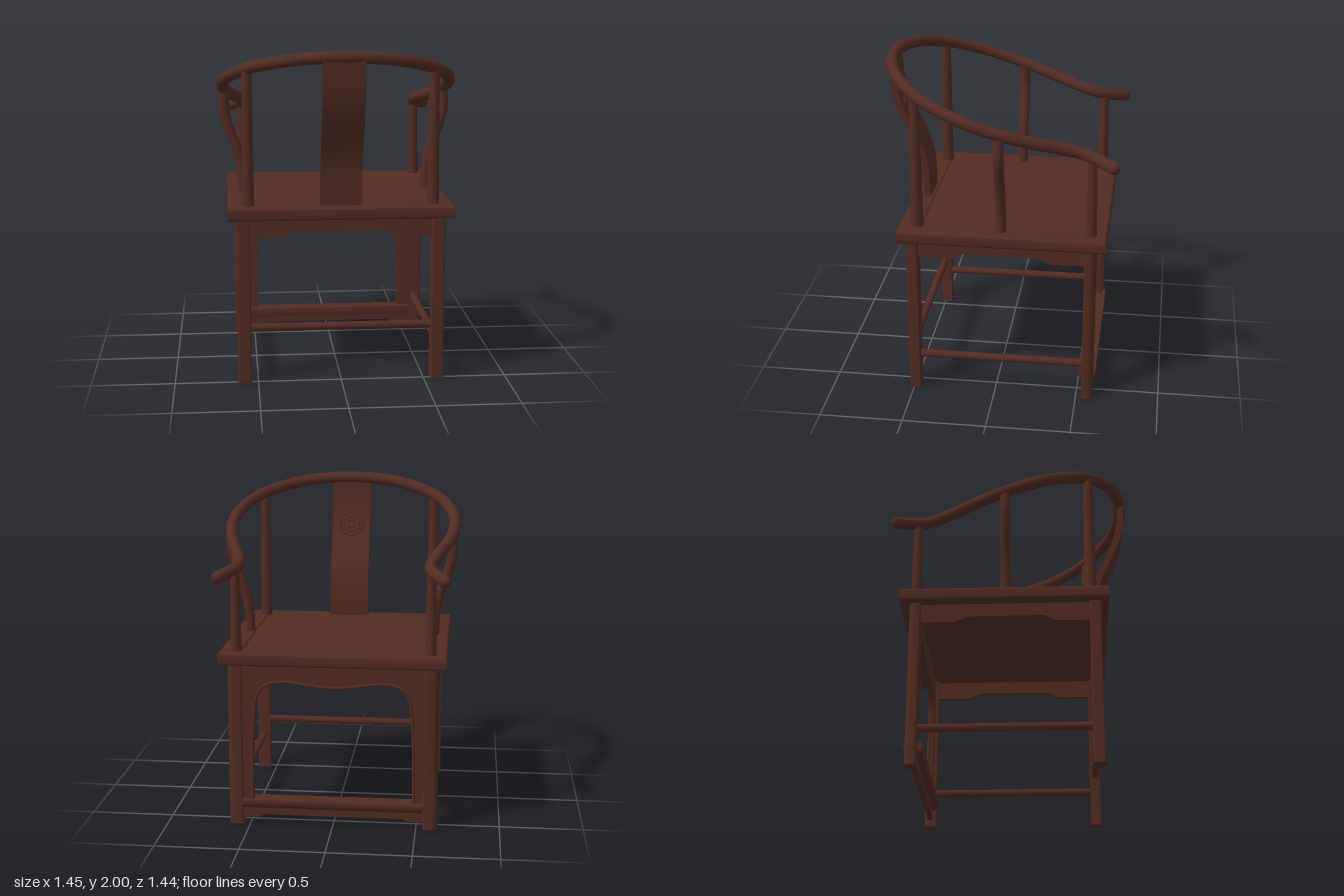
import * as THREE from 'three';
import { toCreasedNormals } from 'three/addons/utils/BufferGeometryUtils.js';

export function createModel() {
  const chair = new THREE.Group();
  chair.name = 'horseshoeArmchair';
  const wood = new THREE.MeshStandardMaterial({ color: 0x522b22 });
  wood.name = 'darkRosewood';

  const V = (x, y, z) => new THREE.Vector3(x, y, z);
  const add = (name, geo, x = 0, y = 0, z = 0, parent = chair) => {
    const mesh = new THREE.Mesh(geo, wood);
    mesh.name = name;
    mesh.position.set(x, y, z);
    parent.add(mesh);
    return mesh;
  };
  const polygon = (pts) => new THREE.Shape(pts.map(([a, b]) => new THREE.Vector2(a, b)));
  // Slab centred on its own thickness, with a small optional bevel
  const slab = (shape, thick, bevel = 0) => {
    const g = new THREE.ExtrudeGeometry(shape, {
      depth: thick - 2 * bevel, bevelEnabled: bevel > 0, bevelThickness: bevel,
      bevelSize: bevel, bevelOffset: -bevel, bevelSegments: 3, curveSegments: 10,
    });
    g.translate(0, 0, -(thick - 2 * bevel) / 2);
    return toCreasedNormals(g, 0.6);
  };
  // Turns a slab so that its drawing plane is (z, y)
  const sideways = (g) => g.rotateY(-Math.PI / 2);
  const tube = (points, r, segs = 32) =>
    new THREE.TubeGeometry(new THREE.CatmullRomCurve3(points), segs, r, 16);
  const rect = (x0, x1, y0, y1) => [[x0, y0], [x1, y0], [x1, y1], [x0, y1]];

  // Seat frame with a floating panel
  const frame = polygon(rect(-0.669, 0.669, -0.661, 0.571));
  frame.holes.push(polygon(rect(-0.54, 0.54, -0.54, 0.438)));
  add('seatFrame', slab(frame, 0.075, 0.013).rotateX(Math.PI / 2), 0, 1.0375, 0);
  add('seatPanel', new THREE.BoxGeometry(1.08, 0.064, 0.98), 0, 1.036, -0.051);

  // Sloping horseshoe arm rail, drawn in plan and lifted by a rule
  const railHeight = (z) => 1.725 + 0.315 * z + 0.05 * z * z;
  const half = [
    [0.65, -0.69], [0.592, -0.6], [0.562, -0.515], [0.582, -0.4], [0.638, -0.23], [0.677, -0.075],
    [0.69, 0.1], [0.663, 0.257], [0.585, 0.415], [0.45, 0.545], [0.255, 0.643],
  ];
  const plan = [...half, [0, 0.681], ...half.map(([x, z]) => [-x, z]).reverse()];
  const railPoints = plan.map(([x, z]) => V(x, railHeight(z), z));
  add('armRail', tube(railPoints, 0.036, 120));
  for (const p of [railPoints[0], railPoints.at(-1)]) {
    add('armRailEnd', new THREE.SphereGeometry(0.0365, 16, 12), p.x, p.y, p.z);
  }

  // Curved back splat of even thickness
  const rear = new THREE.SplineCurve([[0.5, 1.06], [0.504, 1.2], [0.518, 1.31], [0.549, 1.41], [0.592, 1.5],
    [0.636, 1.6], [0.671, 1.7], [0.692, 1.8], [0.704, 1.95]].map(([z, y]) => new THREE.Vector2(z, y)));
  const splat = new THREE.Shape(rear.getPoints(36));
  for (let i = 36; i >= 0; i--) {
    const p = rear.getPoint(i / 36), t = rear.getTangent(i / 36);
    splat.lineTo(p.x - t.y * 0.04, p.y + t.x * 0.04);
  }
  add('backSplat', sideways(slab(splat, 0.248)));

  // Carved round medallion on the splat
  const medallion = new THREE.Group();
  medallion.name = 'medallion';
  medallion.position.set(0, 1.66, 0.615);
  medallion.rotation.x = 0.36;
  chair.add(medallion);
  for (const r of [0.076, 0.05, 0.025]) {
    add('medallionRing', new THREE.TorusGeometry(r, 0.006, 8, 32), 0, 0, 0, medallion);
  }
  for (let i = 0; i < 8; i++) {
    const a = (i * Math.PI) / 4;
    add('medallionPetal', new THREE.TorusGeometry(0.012, 0.004, 6, 12),
      Math.cos(a) * 0.063, Math.sin(a) * 0.063, 0, medallion);
  }

  // Rear stretcher and aprons with a stepped lower edge
  const apronOutline = (a, b, c, d, e, f) => polygon([
    [a, 1.01], [a, 0.885], [b, 0.885], [c, 0.92], [d, 0.92], [e, 0.885], [f, 0.885], [f, 1.01],
  ]);
  add('backApron', slab(apronOutline(-0.55, -0.335, -0.27, 0.27, 0.335, 0.55), 0.03), 0, 0, 0.49);
  add('backStretcher', tube([V(-0.56, 0.336, 0.49), V(0.56, 0.336, 0.49)], 0.024, 1));

  for (const s of [1, -1]) {
    // Legs: square inside, rounded outside
    const leg = (name, xOut, zIn, zOut, r) => {
      const x0 = s * 0.54, x1 = s * xOut, d = Math.sign(zOut - zIn);
      const shape = new THREE.Shape();
      shape.moveTo(x0, -zIn);
      shape.lineTo(x1 - s * 0.01, -zIn);
      shape.quadraticCurveTo(x1, -zIn, x1, -(zIn + d * 0.01));
      shape.lineTo(x1, -(zOut - d * r));
      shape.quadraticCurveTo(x1, -zOut, x1 - s * r, -zOut);
      shape.lineTo(x0 + s * 0.01, -zOut);
      shape.quadraticCurveTo(x0, -zOut, x0, -(zOut - d * 0.01));
      add(name, slab(shape, 1.01).rotateX(-Math.PI / 2), 0, 0.505, 0);
    };
    leg('backLeg', 0.62, 0.455, 0.524, 0.012);
    leg('frontLeg', 0.628, -0.534, -0.603, 0.045);

    // Tapered posts above the seat
    add('backPost', new THREE.CylinderGeometry(0.029, 0.037, 0.81, 20), s * 0.549, 1.465, 0.464);
    add('frontPost', new THREE.CylinderGeometry(0.026, 0.034, 0.485, 20), s * 0.572, 1.3025, -0.567);
    // Bent posts under the arms
    add('sidePost', tube([[0.576, 1.06], [0.581, 1.2], [0.607, 1.34], [0.652, 1.46], [0.682, 1.58], [0.679, 1.71]]
      .map(([x, y]) => V(s * x, y, -0.038)), 0.031));

    // Side apron and stretcher
    add('sideApron', sideways(slab(apronOutline(-0.545, -0.33, -0.26, 0.19, 0.26, 0.465), 0.03)), s * 0.582, 0, 0);
    add('sideStretcher', tube([V(s * 0.582, 0.228, -0.55), V(s * 0.582, 0.228, 0.47)], 0.024, 1));
  }

  // Arched front apron reaching down to the foot rail, with a raised bead
  const edge = [[0.478, 0.14], [0.475, 0.4], [0.466, 0.65], [0.45, 0.78], [0.413, 0.85], [0.335, 0.88],
    [0.25, 0.882], [0.12, 0.863]];
  const arch = [...edge, [0, 0.855], ...edge.map(([x, y]) => [-x, y]).reverse()];
  const archCurve = new THREE.SplineCurve(arch.map(([x, y]) => new THREE.Vector2(x, y)));
  const frontApron = polygon([[-0.55, 0.14], [-0.55, 1.01], [0.55, 1.01], [0.55, 0.14]]);
  archCurve.getPoints(80).forEach((p) => frontApron.lineTo(p.x, p.y));
  add('frontApron', slab(frontApron, 0.03), 0, 0, -0.568);
  add('frontApronBead', tube(arch.map(([x, y]) => V(x * 1.015, y + 0.007, -0.583)), 0.009, 80));

  // Foot rail with a small apron below
  const railSection = new THREE.Shape();
  railSection.moveTo(-0.512, 0.106);
  railSection.quadraticCurveTo(-0.505, 0.135, -0.51, 0.16);
  railSection.lineTo(-0.614, 0.16);
  railSection.quadraticCurveTo(-0.624, 0.135, -0.6, 0.106);
  add('footRail', sideways(slab(railSection, 1.09)));
  add('footApron', slab(polygon([[-0.55, 0.11], [-0.55, 0.042], [-0.44, 0.042], [-0.415, 0.058],
    [0.415, 0.058], [0.44, 0.042], [0.55, 0.042], [0.55, 0.11]]), 0.03), 0, 0, -0.568);

  return chair;
}
